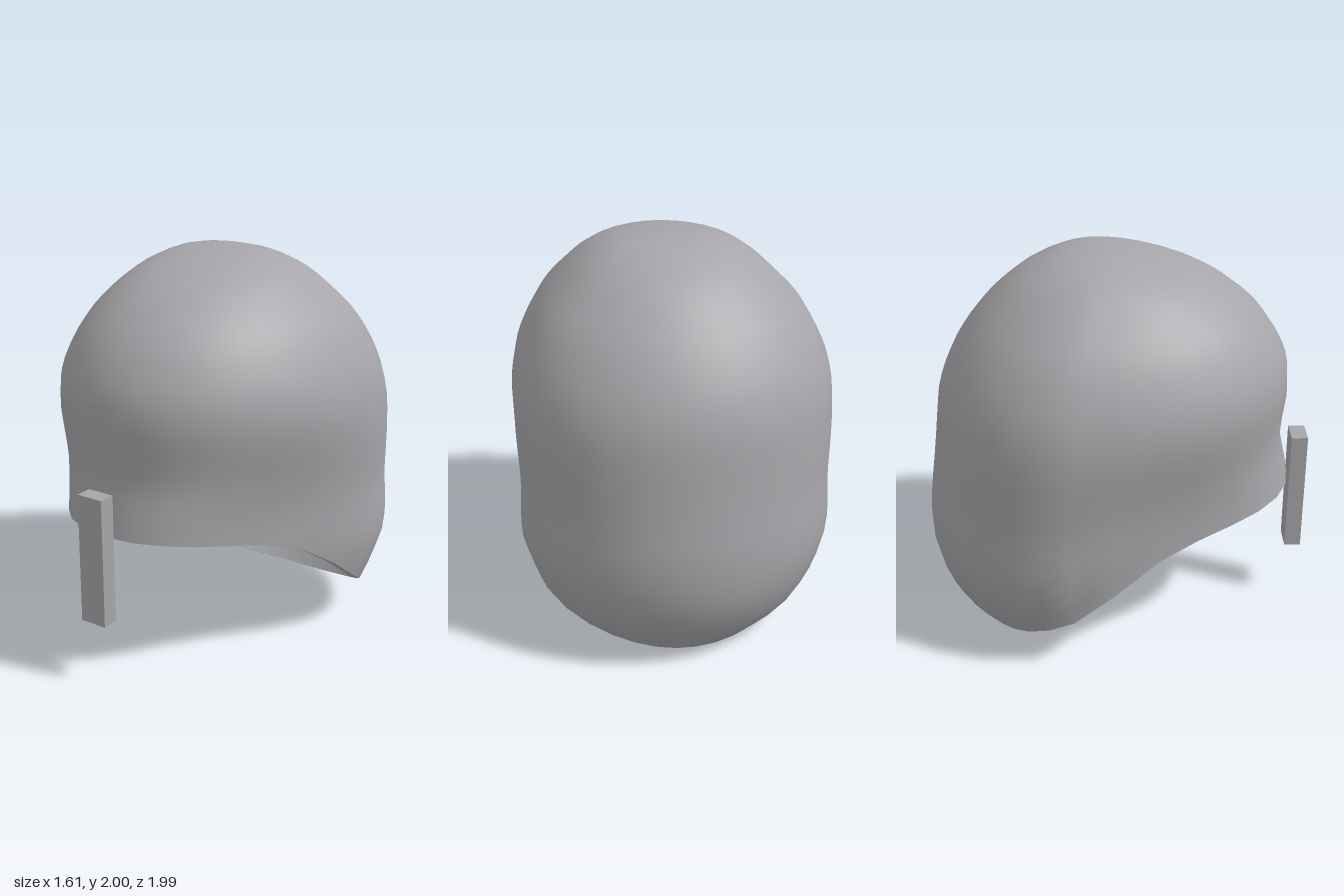
import * as THREE from 'three';
import { mergeVertices } from 'three/addons/utils/BufferGeometryUtils.js';

const SEGMENTS = 32, ROWS = 28;

// Level sections: height, front z, back z, half width, z of the widest point
const SECTIONS = [
  [2.0, -0.1, -0.1, 0, -0.1],
  [1.993, 0.02, -0.21, 0.17, -0.1],
  [1.93, 0.33, -0.4, 0.365, -0.11],
  [1.88, 0.46, -0.49, 0.44, -0.12],
  [1.79, 0.605, -0.6, 0.54, -0.14],
  [1.68, 0.725, -0.705, 0.642, -0.17],
  [1.57, 0.805, -0.785, 0.708, -0.19],
  [1.43, 0.867, -0.862, 0.768, -0.21],
  [1.28, 0.88, -0.91, 0.8, -0.23],
  [1.15, 0.865, -0.928, 0.807, -0.24],
  [1.0, 0.86, -0.945, 0.803, -0.25],
  [0.8, 0.9, -0.97, 0.795, -0.25],
  [0.65, 0.92, -0.99, 0.803, -0.25],
  [0.5, 0.92, -0.985, 0.8, -0.25],
  [0.4, 0.92, -0.975, 0.775, -0.24],
  [0.2, 0.92, -0.895, 0.7, -0.22],
  [0.0, 0.92, -0.73, 0.53, -0.2],
];

// Rim line seen from the side: z, height
const RIM = [[-0.73, 0.005], [-0.4, 0.2], [-0.15, 0.35], [0, 0.47], [0.15, 0.575],
  [0.35, 0.652], [0.55, 0.7], [0.8, 0.742], [0.92, 0.75]];

// Smooth interpolation of table rows along an increasing key
function lookup(table, key, x) {
  const last = table.length - 1;
  const at = THREE.MathUtils.clamp(x, key(table[0]), key(table[last]));
  let i = 0;
  while (i < last - 1 && at > key(table[i + 1])) i++;
  const a = key(table[i]), h = key(table[i + 1]) - a, t = (at - a) / h;
  const slope = (n, k) => {
    const p = table[Math.max(n - 1, 0)], q = table[Math.min(n + 1, last)];
    return (q[k] - p[k]) / (key(q) - key(p));
  };
  return table[i].map((v, k) => {
    const w = table[i + 1][k], blend = t * t * (3 - 2 * t);
    return v + (w - v) * blend + h * t * (1 - t) * ((1 - t) * slope(i, k) - t * slope(i + 1, k));
  });
}

const depth = (y) => Math.sqrt(Math.max(0, 2 - y));
const rimHeight = (z) => lookup(RIM, (r) => r[0], z)[1];

// Point of the shell at an angle and height; top and wall set the inner skin
function shellPoint(angle, y, top, wall) {
  const [, front, back, width, mid] = lookup(SECTIONS, (s) => depth(s[0]), depth(y * 2 / top));
  const c = Math.cos(angle), s = Math.sin(angle);
  // The cheeks narrow towards the brow, the forehead above stays round
  const narrowing = 0.85 - 0.92 * THREE.MathUtils.smoothstep(y, 0.6, 1.4);
  const taper = c > 0 ? 1 - narrowing * Math.pow(c, 1.5) * (1 - c) : 1;
  const reach = c > 0 ? front - mid : mid - back;
  // The wall thickens where it slants at the nape
  const scale = 1 - wall * (1 + Math.max(0, 1 - y / 0.4));
  return [width * s * taper * scale, y, mid + reach * c * scale];
}

// Columns of points from the crown down to the sloping rim
function shellGrid(top, wall) {
  const grid = [];
  for (let i = 0; i < SEGMENTS; i++) {
    const angle = (i / SEGMENTS) * Math.PI * 2;
    let lo = 0, hi = 1;
    for (let n = 0; n < 30; n++) {
      const y = (lo + hi) / 2;
      if (y < rimHeight(shellPoint(angle, y, top, wall)[2])) lo = y; else hi = y;
    }
    const column = [];
    for (let j = 0; j <= ROWS; j++) {
      column.push(shellPoint(angle, top - (top - hi) * Math.pow(j / ROWS, 1.6), top, wall));
    }
    grid.push(column);
  }
  return grid;
}

// Skin closed around the y axis from columns of points
function skin(columns, inward = false) {
  const rows = columns[0].length, index = [];
  for (let i = 0; i < SEGMENTS; i++) {
    for (let j = 0; j < rows - 1; j++) {
      const a = i * rows + j, b = a + 1;
      const c = ((i + 1) % SEGMENTS) * rows + j, d = c + 1;
      if (inward) index.push(a, c, b, b, c, d);
      else index.push(a, b, c, b, d, c);
    }
  }
  const geometry = new THREE.BufferGeometry();
  geometry.setAttribute('position', new THREE.Float32BufferAttribute(columns.flat(2), 3));
  geometry.setIndex(index);
  const merged = mergeVertices(geometry, 1e-5);
  merged.computeVertexNormals();
  return merged;
}

export function createModel() {
  const model = new THREE.Group();
  const grey = new THREE.MeshStandardMaterial({ color: 0xa6a6aa });
  grey.name = 'grey';

  const add = (name, geometry, parent) => {
    const mesh = new THREE.Mesh(geometry, grey);
    mesh.name = name;
    parent.add(mesh);
    return mesh;
  };

  // Helmet shell: outer skin, inner skin and the rim joining them
  const helmet = new THREE.Group();
  helmet.name = 'helmet';
  model.add(helmet);
  const outer = shellGrid(2, 0), inner = shellGrid(1.955, 0.05);
  add('outerShell', skin(outer), helmet);
  add('innerShell', skin(inner, true), helmet);
  add('rim', skin(outer.map((column, i) => [column[ROWS], inner[i][ROWS]])), helmet);

  // Upright bar in front of the opening
  add('frontBar', new THREE.BoxGeometry(0.143, 0.66, 0.085), model).position.set(-0.014, 0.65, 0.957);

  return model;
}
